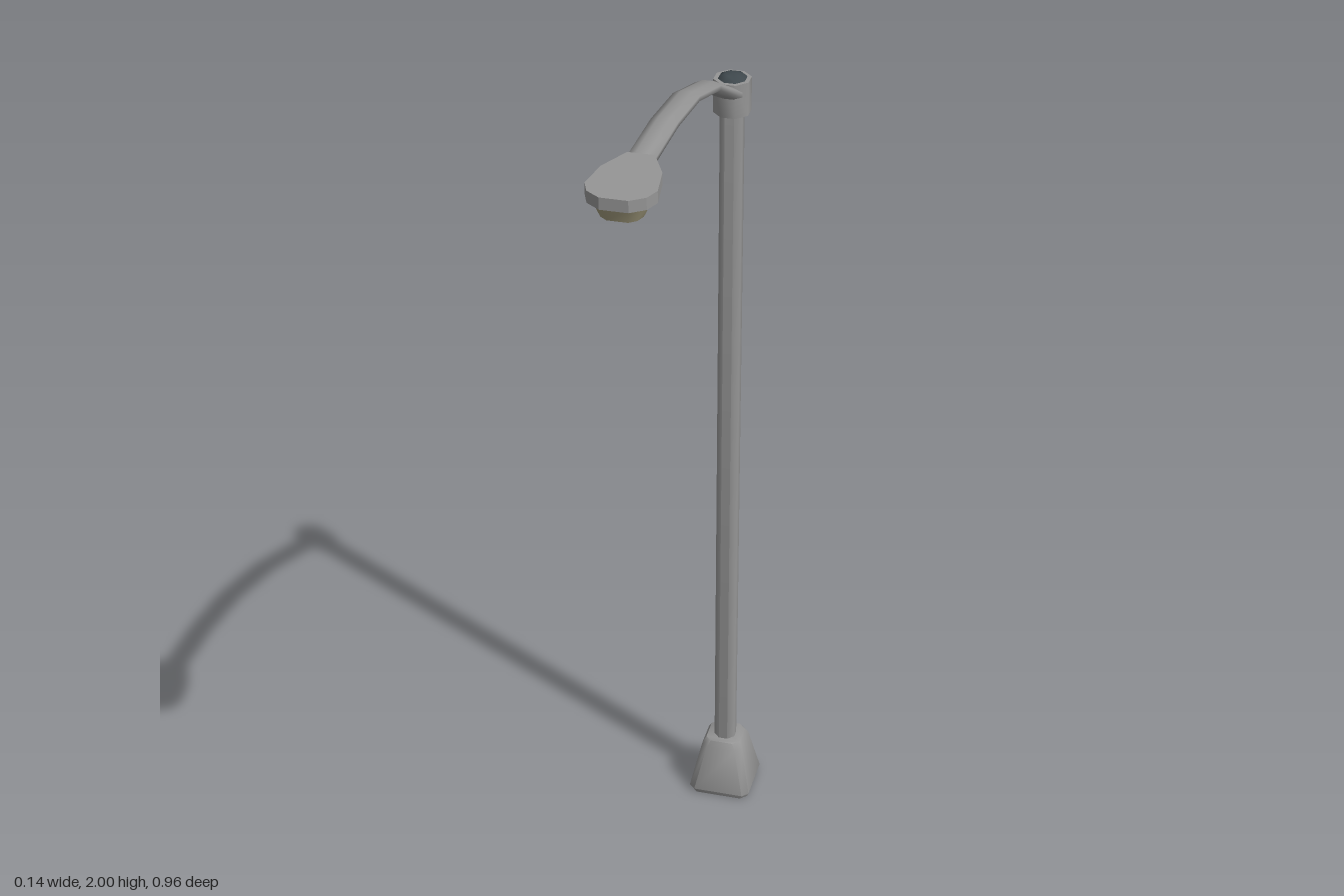
import * as THREE from 'three';
import { toCreasedNormals } from 'three/addons/utils/BufferGeometryUtils.js';

const POLE_Z = -0.41;
const metal = new THREE.MeshStandardMaterial({ color: 0x969696 });
const lensMaterial = new THREE.MeshStandardMaterial({ color: 0xa19a7c });
const capMaterial = new THREE.MeshStandardMaterial({ color: 0x3f484d });

// Skin over rings of [x, y, z] points, counterclockwise seen from the last ring, with both ends closed
function loft(rings, crease) {
  const n = rings[0].length;
  const index = [];
  for (let r = 0; r < rings.length - 1; r++) {
    for (let i = 0; i < n; i++) {
      const a = r * n + i, b = r * n + (i + 1) % n;
      index.push(a, b, b + n, a, b + n, a + n);
    }
  }
  const last = (rings.length - 1) * n;
  for (let i = 1; i < n - 1; i++) {
    index.push(0, i + 1, i, last, last + i, last + i + 1);
  }
  const geometry = new THREE.BufferGeometry();
  geometry.setAttribute('position', new THREE.Float32BufferAttribute(rings.flat(2), 3));
  geometry.setIndex(index);
  return toCreasedNormals(geometry, crease);
}

// Square ring with cut corners, around the pole axis
function squareRing(half, cut, y) {
  const k = half - cut;
  return [[half, k], [half, -k], [k, -half], [-k, -half], [-half, -k], [-half, k], [-k, half], [k, half]]
    .map(([x, z]) => [x, y, POLE_Z + z]);
}

// Octagonal turned part from [radius, y] points, around the pole axis
function turned(points) {
  const geometry = new THREE.LatheGeometry(points.map(([r, y]) => new THREE.Vector2(r, y)), 8, Math.PI / 8);
  geometry.translate(0, 0, POLE_Z);
  return toCreasedNormals(geometry, 0.9);
}

// Mirrored outline of [x, z] points from the front to the back, at the height given by a rule
function outline(half, height) {
  const other = half.map(([x, z]) => [-x, z]).reverse();
  return [...half, ...other].map(([x, z]) => [x, height(z), z]);
}

export function createModel() {
  const group = new THREE.Group();
  const add = (name, geometry, material = metal) => {
    const mesh = new THREE.Mesh(geometry, material);
    mesh.name = name;
    group.add(mesh);
  };

  // Tapered foot with softened corners
  add('base', loft([
    squareRing(0.067, 0.014, 0), squareRing(0.072, 0.014, 0.012),
    squareRing(0.048, 0.014, 0.125), squareRing(0.04, 0.014, 0.14),
  ], 1));

  // Pole, collar and the small sensor dome on top
  add('pole', turned([[0.026, 0.1], [0.026, 1.78]]));
  add('collar', turned([[0, 1.76], [0.04, 1.76], [0.04, 1.834], [0, 1.834]]));
  add('sensorCap', turned([[0.032, 1.832], [0.028, 1.838], [0.016, 1.843], [0, 1.844]]), capMaterial);

  // Curved arm with a flattened, smooth octagonal section
  const path = [[-0.41, 1.796], [-0.2, 1.909], [-0.03, 1.963], [0.13, 1.984], [0.31, 1.988]];
  const arm = path.map(([z, y], i) => {
    const a = path[Math.max(i - 1, 0)], b = path[Math.min(i + 1, path.length - 1)];
    const tilt = Math.atan2(b[1] - a[1], b[0] - a[0]);
    return Array.from({ length: 8 }, (_, k) => {
      const angle = (k + 0.5) * Math.PI / 4;
      const u = 0.029 * Math.cos(angle), v = 0.0125 * Math.sin(angle);
      return [u, y + v * Math.cos(tilt), z - v * Math.sin(tilt)];
    });
  });
  add('arm', loft(arm, 1.4));

  // Flat lamp housing
  const head = [[0.027, 0.48], [0.055, 0.46], [0.067, 0.43], [0.057, 0.36], [0.026, 0.295]];
  add('lampHead', loft([outline(head, () => 1.976), outline(head, () => 2)], 0.3));

  // Lens bulging below the housing, rising toward the arm
  const lensTop = [[0.025, 0.472], [0.046, 0.455], [0.056, 0.43], [0.048, 0.365], [0.022, 0.31]];
  const lensBottom = [[0.02, 0.458], [0.034, 0.447], [0.041, 0.428], [0.036, 0.375], [0.018, 0.33]];
  const rise = (z) => 1.945 + Math.max(0, 0.42 - z) * 0.16;
  add('lens', loft([outline(lensBottom, rise), outline(lensTop, () => 1.977)], 0.9), lensMaterial);

  return group;
}
